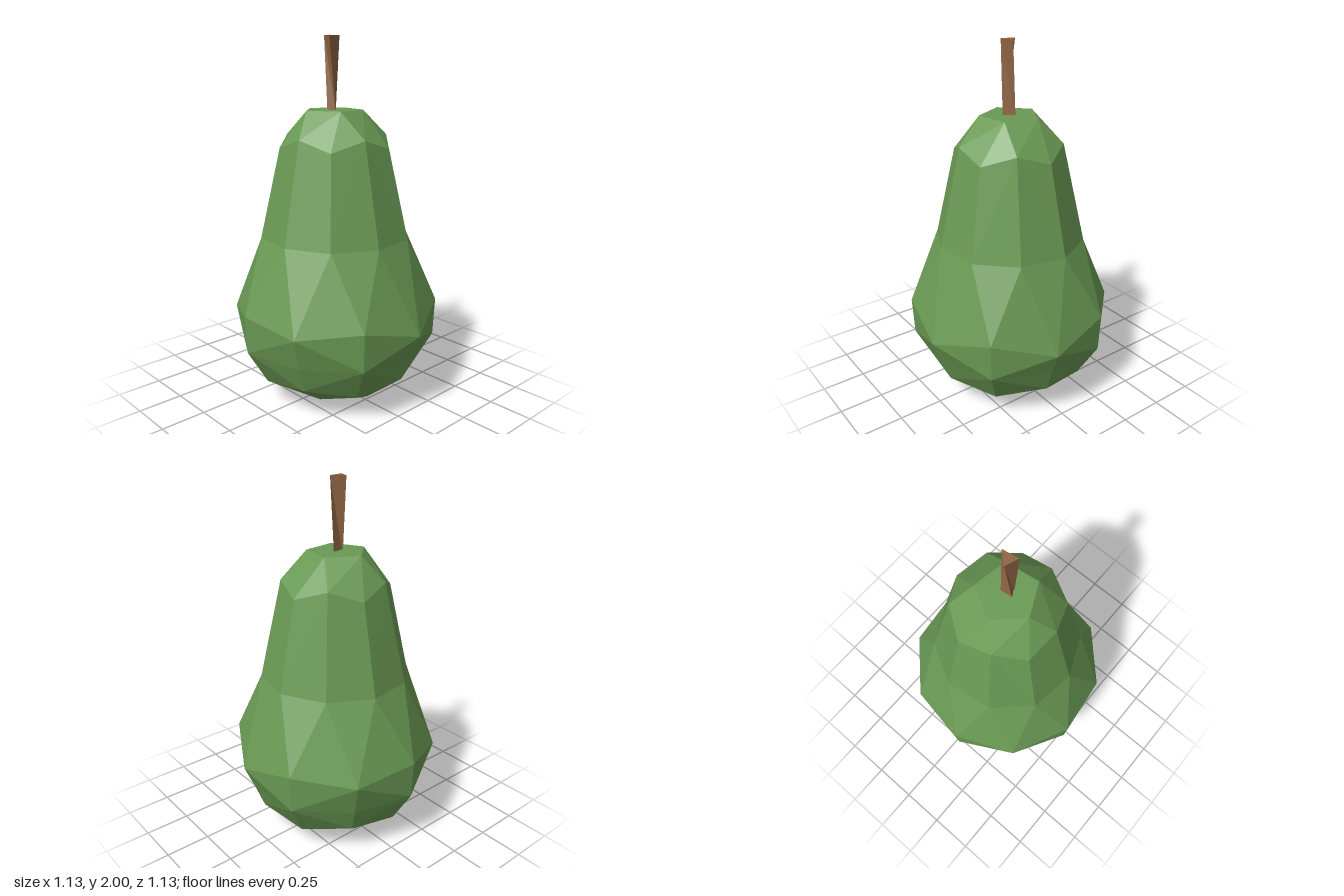
import * as THREE from 'three';

const rad = THREE.MathUtils.degToRad;

// Ring of ten points; pairs hold the [radius, height] of even and odd points
function ring(start, even, odd, heights) {
  return Array.from({ length: 10 }, (_, k) => {
    const [r, y] = k % 2 ? odd : even;
    const a = rad(start + 36 * k);
    return new THREE.Vector3(r * Math.cos(a), heights ? heights[k] : y, r * Math.sin(a));
  });
}

// Faceted geometry from a list of triangle corners, dropping collapsed triangles
function facets(triangles) {
  const solid = triangles.filter((t) => new THREE.Triangle(...t).getArea() > 1e-6);
  const geometry = new THREE.BufferGeometry().setFromPoints(solid.flat());
  geometry.computeVertexNormals();
  return geometry;
}

// Skin between two rings; slant(k) picks the diagonal of each quad
function band(top, bottom, slant) {
  const out = [];
  const n = top.length;
  for (let k = 0; k < n; k++) {
    const j = (k + 1) % n;
    const a = top[k], b = top[j], c = bottom[j], d = bottom[k];
    if (slant(k)) out.push([a, b, c], [a, c, d]);
    else out.push([a, b, d], [b, c, d]);
  }
  return out;
}

function cap(points, facesUp) {
  const centre = points.reduce((s, p) => s.add(p), new THREE.Vector3()).divideScalar(points.length);
  return points.map((p, k) => {
    const q = points[(k + 1) % points.length];
    return facesUp ? [centre, q, p] : [centre, p, q];
  });
}

function bodyGeometry() {
  // Flat five-sided crown, each corner doubled to match the ten-point rings
  const crown = Array.from({ length: 10 }, (_, k) => {
    const a = rad(-98 + 72 * Math.floor(k / 2));
    return new THREE.Vector3(0.163 * Math.cos(a) - 0.01, 1.615, 0.163 * Math.sin(a) - 0.01);
  });
  const shoulder = ring(-115, [0.288, 1.475], [0.306, 1.418]);
  const waist = ring(-116, [0.413, 0.93], [0.418, 0.93]);
  const belly = ring(-98, [0.57, 0.55], [0.574, 0.47],
    [0.55, 0.51, 0.55, 0.46, 0.55, 0.46, 0.55, 0.51, 0.55, 0.49]);
  const lower = ring(-98, [0.56, 0.34], [0.517, 0.325]);
  const under = ring(-98, [0.445, 0.145], [0.462, 0.182]);
  const foot = ring(-98, [0.19, 0.015], [0.235, 0.015],
    [0.02, 0.03, 0.028, 0.025, 0.013, 0, 0.01, 0.02, 0.015, 0.01]);

  const even = (k) => k % 2 === 0;
  const odd = (k) => k % 2 === 1;
  return facets([
    ...cap(crown, true),
    ...band(crown, shoulder, odd),
    ...band(shoulder, waist, even),
    ...band(waist, belly, () => false),
    ...band(belly, lower, odd),
    ...band(lower, under, even),
    ...band(under, foot, even),
    ...cap(foot, false),
  ]);
}

// Three-sided stalk, slightly twisted and wider at the tip
function stemGeometry() {
  const at = (y, points) => points.map(([x, z]) => new THREE.Vector3(x, y, z));
  const tip = at(2, [[-0.03, -0.055], [0.03, 0], [-0.057, 0.015]]);
  const base = at(1.58, [[-0.045, -0.012], [0.022, -0.022], [-0.02, 0.03]]);
  return facets([...cap(tip, true), ...band(tip, base, () => false), ...cap(base, false)]);
}

export function createModel() {
  const green = new THREE.MeshStandardMaterial({ color: 0x6a9a54, flatShading: true });
  green.name = 'skin green';
  const brown = new THREE.MeshStandardMaterial({ color: 0x8f6443, flatShading: true });
  brown.name = 'stem brown';

  const body = new THREE.Mesh(bodyGeometry(), green);
  body.name = 'fruitBody';
  const stem = new THREE.Mesh(stemGeometry(), brown);
  stem.name = 'stem';

  const model = new THREE.Group();
  model.name = 'pear';
  model.add(body, stem);
  return model;
}
